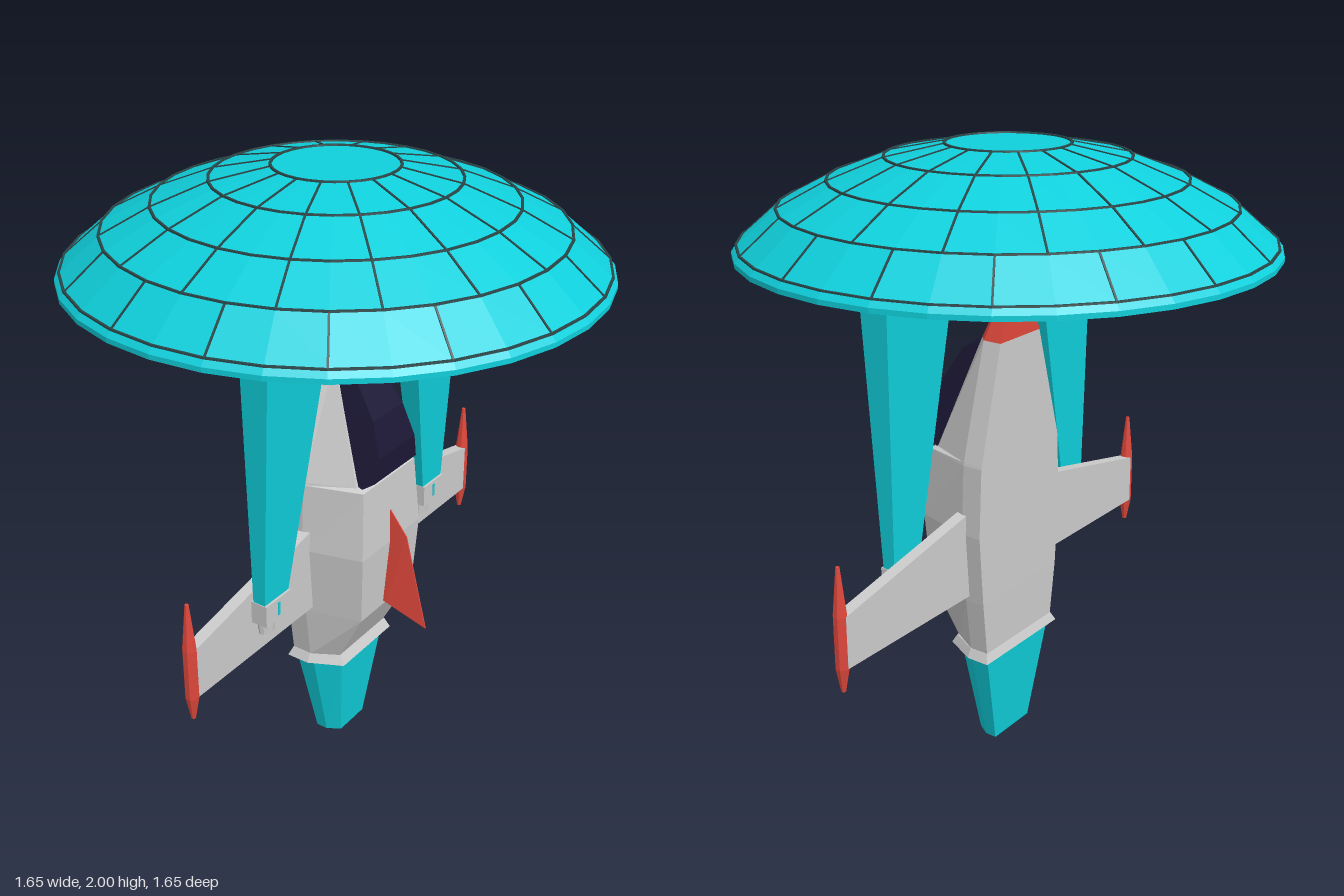
import * as THREE from 'three';
import { ConvexGeometry } from 'three/addons/geometries/ConvexGeometry.js';

const mat = (color) => new THREE.MeshStandardMaterial({ color, flatShading: true, side: THREE.DoubleSide });
const GREY = mat(0xcccccc), TEAL = mat(0x0fd0dc), RED = mat(0xe0483c), GLASS = mat(0x1c1836), SEAM = mat(0x2a4648);

function add(parent, name, geometry, material) {
  const mesh = new THREE.Mesh(geometry, material);
  mesh.name = name;
  parent.add(mesh);
  return mesh;
}

// Skin rings of [x, y, z] from bottom to top (counter-clockwise from above), with capped ends.
function loft(rings) {
  const n = rings[0].length, index = [];
  for (let r = 0; r < rings.length - 1; r++) {
    for (let i = 0; i < n; i++) {
      const a = r * n + i, b = r * n + (i + 1) % n;
      index.push(a, b, b + n, a, b + n, a + n);
    }
  }
  const top = (rings.length - 1) * n;
  for (let i = 1; i < n - 1; i++) index.push(0, i + 1, i, top, top + i, top + i + 1);
  const g = new THREE.BufferGeometry();
  g.setAttribute('position', new THREE.Float32BufferAttribute(rings.flat(2), 3));
  g.setIndex(index);
  const flat = g.toNonIndexed();
  flat.computeVertexNormals();
  return flat;
}

// Six-sided hull section: w = half width, t = half width of the raised front, zb/zm/zt = back, shoulder, front.
const section = ([y, w, t, zb, zm, zt]) =>
  [[-t, y, zt], [t, y, zt], [w, y, zm], [w, y, zb], [-w, y, zb], [-w, y, zm]];
const hull = (rows) => loft(rows.map(section));

// Rectangular section between x0..x1 and z0..z1, with its own height at each x end.
const rect = (x0, x1, z0, z1, y0, y1 = y0) => [[x0, y0, z1], [x1, y1, z1], [x1, y1, z0], [x0, y0, z0]];

function makeDome() {
  const dome = new THREE.Group();
  dome.name = 'dome';
  const outer = [[0.825, 1.68], [0.825, 1.695], [0.81, 1.712], [0.69, 1.815], [0.54, 1.892], [0.37, 1.957], [0.19, 1.993], [0, 1.994]];
  const inner = [[0, 1.972], [0.19, 1.97], [0.37, 1.934], [0.54, 1.868], [0.69, 1.79], [0.8, 1.69]];
  const profile = [...inner, ...outer].map(([r, y]) => new THREE.Vector2(r, y));
  add(dome, 'domeShell', new THREE.LatheGeometry(profile, 32), TEAL);

  // Panel seams: rings, then staggered spokes in each band
  const bands = outer.slice(2, 7).map(([r, y]) => new THREE.Vector2(r, y));
  for (const p of bands) {
    const ring = [[0.004, 0], [0.003, 0.005], [-0.004, 0.005], [-0.005, 0]]
      .map(([dr, dy]) => new THREE.Vector2(p.x + dr, p.y + dy));
    add(dome, 'ringSeam', new THREE.LatheGeometry(ring, 32), SEAM);
  }
  for (let b = 0; b < 4; b++) {
    const p = bands[b], q = bands[b + 1], mid = p.clone().add(q).multiplyScalar(0.5);
    for (let k = b === 0 ? 1 : 0; k < 32; k += 2) {
      const spoke = new THREE.Group();
      spoke.rotation.y = k * Math.PI / 16;
      const seam = add(spoke, 'spokeSeam', new THREE.BoxGeometry(p.distanceTo(q), 0.006, 0.006), SEAM);
      seam.position.set(mid.x, mid.y, 0);
      seam.rotation.z = Math.atan2(p.y - q.y, p.x - q.x);
      dome.add(spoke);
    }
  }
  return dome;
}

// Wing, tip pod, pylon and clamp for one side
function makeSide(name) {
  const side = new THREE.Group();
  side.name = name;
  add(side, 'wing', loft([rect(0.15, 0.77, 0, 0.04, 0.58), rect(0.15, 0.77, 0, 0.04, 0.88, 0.75)]), GREY);

  const pod = [[0.5, 0.007], [0.58, 0.021], [0.75, 0.021], [0.905, 0.006]].map(([y, r]) =>
    Array.from({ length: 8 }, (_, i) => {
      const a = (i + 0.5) * Math.PI / 4;
      return [0.773 + 1.05 * r * Math.cos(a), y, 0.021 - 1.05 * r * Math.sin(a)];
    }));
  add(side, 'wingTipPod', loft(pod), RED);

  add(side, 'pylon', loft([
    rect(0.395, 0.505, 0.047, 0.088, 0.74),
    rect(0.205, 0.518, 0.032, 0.138, 1.68),
    rect(0.17, 0.52, 0.029, 0.147, 1.85)]), TEAL);

  // Clamp and stepped nozzle
  const clamp = add(side, 'pylonClamp', new THREE.BoxGeometry(0.122, 0.075, 0.065), GREY);
  clamp.position.set(0.447, 0.738, 0.065);
  const light = add(side, 'clampMarker', new THREE.BoxGeometry(0.01, 0.045, 0.004), TEAL);
  light.position.set(0.447, 0.74, 0.098);
  for (let i = 0; i < 3; i++) {
    const r = 0.039 - i * 0.003;
    const step = add(side, 'nozzleRing', new THREE.CylinderGeometry(r, r - 0.002, 0.021, 12), GREY);
    step.position.set(0.447, 0.691 - i * 0.02, 0.047);
    step.scale.z = 0.75;
  }
  return side;
}

export function createModel() {
  const model = new THREE.Group();
  model.name = 'domedCraft';
  model.add(makeDome());

  const craft = new THREE.Group();
  craft.name = 'craft';
  craft.position.x = 0.007;
  model.add(craft);

  // Hull rows: y, half width, front half width, back z, shoulder z, front z
  add(craft, 'fuselage', hull([
    [0.37, 0.178, 0.13, -0.052, 0.015, 0.1],
    [0.56, 0.2, 0.15, -0.055, 0.015, 0.2],
    [0.8, 0.217, 0.165, -0.055, 0.015, 0.213],
    [1.03, 0.205, 0.145, -0.055, 0.015, 0.2],
    [1.04, 0.203, 0.14, -0.055, 0.015, 0.17],
    [1.41, 0.102, 0.072, -0.052, 0.012, 0.04]]), GREY);
  add(craft, 'noseCone', hull([
    [1.41, 0.102, 0.072, -0.052, 0.012, 0.04],
    [1.62, 0.024, 0.014, -0.052, -0.042, -0.034],
    [1.64, 0.014, 0.008, -0.05, -0.044, -0.038]]), RED);
  add(craft, 'tailFlange', hull([
    [0.345, 0.195, 0.14, -0.065, 0.015, 0.125],
    [0.375, 0.18, 0.132, -0.053, 0.015, 0.108]]), GREY);
  add(craft, 'tailCone', hull([
    [0, 0.093, 0.066, -0.02, 0.02, 0.063],
    [0.35, 0.17, 0.12, -0.046, 0.02, 0.102]]), TEAL);

  // Canopy rows: y, base half width, crown half width, base z, crown z
  const canopy = [
    [1.035, 0.135, 0.13, 0.13, 0.185],
    [1.06, 0.132, 0.118, 0.13, 0.222],
    [1.14, 0.118, 0.1, 0.11, 0.226],
    [1.25, 0.1, 0.082, 0.07, 0.19],
    [1.36, 0.08, 0.068, 0.03, 0.12],
    [1.412, 0.072, 0.064, 0.015, 0.044]];
  add(craft, 'canopy', loft(canopy.map(([y, wb, wt, zb, zt]) =>
    [[-wt, y, zt], [wt, y, zt], [wb, y, zb], [-wb, y, zb]])), GLASS);

  // Fin, thickest low at its root
  const fin = [[0, 0.91, 0.15], [0, 0.91, 0.207], [0, 0.83, 0.27], [0, 0.51, 0.352], [0.022, 0.57, 0.212], [0.022, 0.59, 0.15]];
  const finPoints = fin.flatMap(([x, y, z]) => [-1, 1].map((s) => new THREE.Vector3(s * (x + 0.002), y, z)));
  add(craft, 'fin', new ConvexGeometry(finPoints), RED);

  craft.add(makeSide('leftSide'));
  const right = makeSide('rightSide');
  right.scale.x = -1;
  craft.add(right);
  return model;
}
